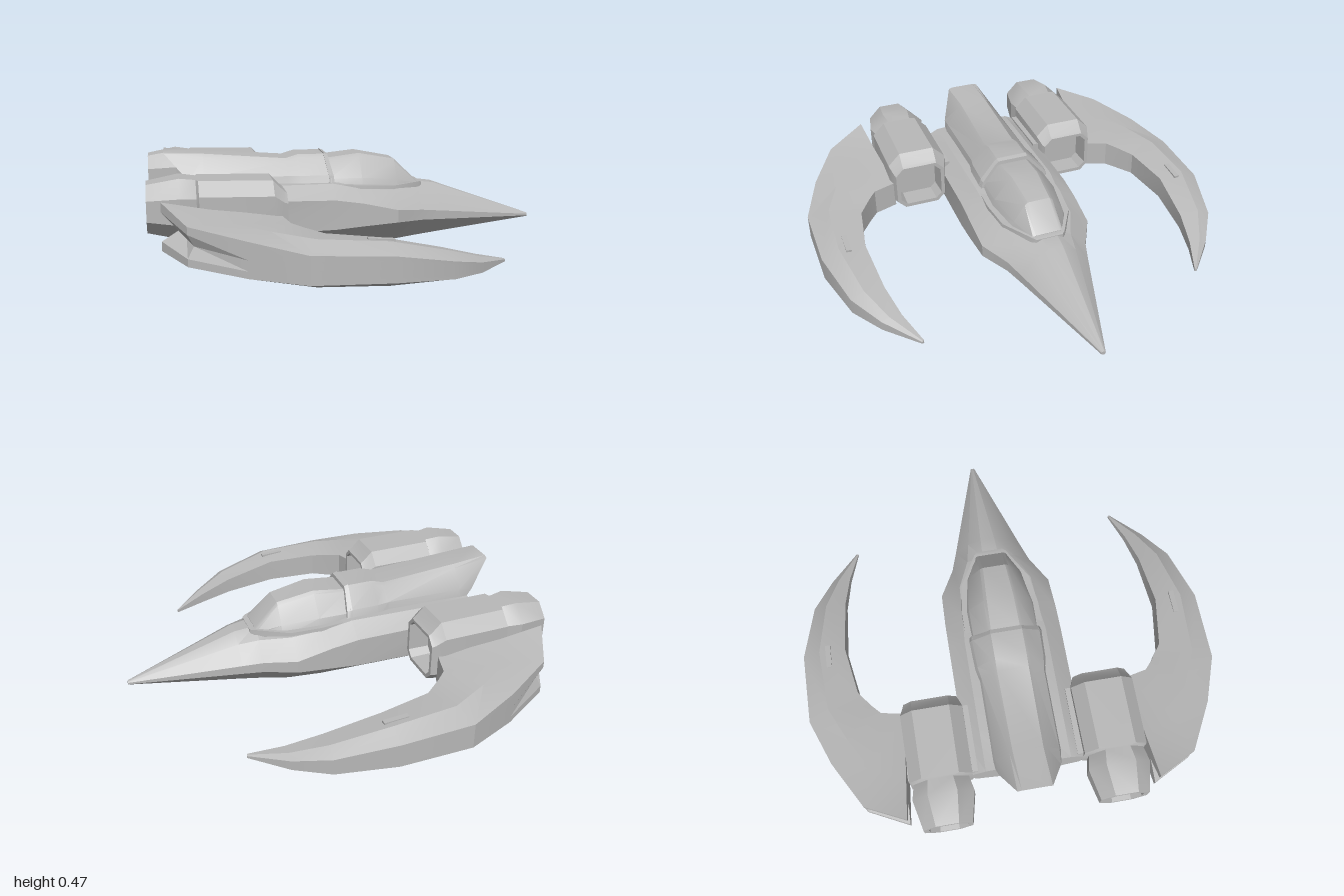
import * as THREE from 'three';
import { toCreasedNormals } from 'three/addons/utils/BufferGeometryUtils.js';

// Skin a closed solid over a list of rings of [x, y, z] points, with fan caps
function loft(rings, crease = 0.4) {
  const tris = [];
  const n = rings[0].length;
  for (let i = 0; i < rings.length - 1; i++) {
    for (let j = 0; j < n; j++) {
      const k = (j + 1) % n;
      const a = rings[i][j], b = rings[i][k], c = rings[i + 1][k], d = rings[i + 1][j];
      tris.push([a, b, c], [a, c, d]);
    }
  }
  const centre = (ring) => [0, 1, 2].map((q) => ring.reduce((s, p) => s + p[q], 0) / n);
  const first = rings[0], last = rings[rings.length - 1];
  const c0 = centre(first), c1 = centre(last);
  for (let j = 0; j < n; j++) {
    const k = (j + 1) % n;
    tris.push([c0, first[k], first[j]], [c1, last[j], last[k]]);
  }
  // Turn all faces outward
  let volume = 0;
  for (const [a, b, c] of tris) {
    volume += a[0] * (b[1] * c[2] - b[2] * c[1]) + a[1] * (b[2] * c[0] - b[0] * c[2]) + a[2] * (b[0] * c[1] - b[1] * c[0]);
  }
  const flat = tris.map((t) => (volume < 0 ? [t[0], t[2], t[1]] : t)).flat(2);
  const geometry = new THREE.BufferGeometry();
  geometry.setAttribute('position', new THREE.Float32BufferAttribute(flat, 3));
  geometry.computeVertexNormals();
  return toCreasedNormals(geometry, crease);
}

// Complete a half ring (bottom to top, z > 0) with its mirror image
const symmetric = (half) => [...half, ...half.map(([x, y, z]) => [x, y, -z]).reverse()];

// Ring at x from [y, z] pairs
const section = (x, ...yz) => symmetric(yz.map(([y, z]) => [x, y, z]));

// Octagonal ring: a rectangle with cut corners
const octagon = (x, y0, y1, z0, z1, c) => [
  [x, y0, z0 + c], [x, y0, z1 - c], [x, y0 + c, z1], [x, y1 - c, z1],
  [x, y1, z1 - c], [x, y1, z0 + c], [x, y1 - c, z0], [x, y0 + c, z0],
];

// Wing ring between inner (leading) and outer (trailing) edges; pull opens the trailing notch
function wingRing({ inner, outer, top, ridge, edge, low, floor, belly, pull = 0 }) {
  const at = (t, y) => [
    inner[0] + (outer[0] - inner[0]) * t, y, inner[1] + (outer[1] - inner[1]) * t,
  ];
  const gap = edge - low;
  return [
    at(0, top), at(0.6, ridge), at(1, edge), at(1, edge - gap * 0.2),
    at(1 - pull, edge - gap * 0.5), at(1, low + gap * 0.2), at(1, low),
    at(0.6, belly), at(0, floor),
  ];
}

export function createModel() {
  const model = new THREE.Group();
  const grey = new THREE.MeshStandardMaterial({ color: 0xb8b8b8 });
  grey.name = 'hull grey';
  const add = (name, geometry, parent = model) => {
    const mesh = new THREE.Mesh(geometry, grey);
    mesh.name = name;
    parent.add(mesh);
    return mesh;
  };

  // Main hull running from the flat stern to the pointed nose
  add('hull', loft([
    section(-0.74, [0.13, 0.12], [0.17, 0.25], [0.27, 0.28], [0.31, 0.2], [0.32, 0.06]),
    section(-0.56, [0.015, 0.12], [0.1, 0.27], [0.26, 0.28], [0.315, 0.2], [0.32, 0.06]),
    section(-0.1, [0.005, 0.13], [0.11, 0.28], [0.25, 0.28], [0.315, 0.2], [0.32, 0.06]),
    section(0.03, [0.005, 0.13], [0.12, 0.28], [0.23, 0.28], [0.285, 0.19], [0.3, 0.06]),
    section(0.2, [0.01, 0.12], [0.13, 0.275], [0.19, 0.275], [0.27, 0.18], [0.285, 0.06]),
    section(0.34, [0.02, 0.09], [0.12, 0.2], [0.17, 0.2], [0.25, 0.12], [0.285, 0.04]),
    section(0.44, [0.028, 0.075], [0.112, 0.168], [0.155, 0.168], [0.235, 0.1], [0.272, 0.035]),
    section(0.96, [0.068, 0.005], [0.072, 0.01], [0.08, 0.01], [0.084, 0.007], [0.086, 0.003]),
  ]));

  // Raised spine with an undercut tail
  add('spine', loft([
    symmetric([[-0.72, 0.29, 0.16], [-0.77, 0.34, 0.145], [-0.88, 0.465, 0.08], [-0.88, 0.472, 0.06]]),
    section(-0.7, [0.29, 0.165], [0.35, 0.15], [0.44, 0.085], [0.457, 0.07]),
    section(-0.31, [0.29, 0.165], [0.35, 0.15], [0.41, 0.09], [0.424, 0.075]),
    section(-0.25, [0.29, 0.18], [0.35, 0.16], [0.43, 0.09], [0.442, 0.075]),
    symmetric([[-0.1, 0.28, 0.19], [-0.105, 0.35, 0.165], [-0.12, 0.425, 0.09], [-0.12, 0.44, 0.075]]),
  ]));

  // Canopy with its rear arch and base rim
  add('canopy', loft([
    section(-0.11, [0.27, 0.172], [0.33, 0.155], [0.41, 0.085], [0.42, 0.07]),
    section(0.05, [0.27, 0.172], [0.33, 0.155], [0.425, 0.08], [0.437, 0.065]),
    section(0.23, [0.26, 0.145], [0.31, 0.125], [0.39, 0.07], [0.402, 0.055]),
    section(0.345, [0.26, 0.08], [0.27, 0.08], [0.285, 0.075], [0.29, 0.06]),
  ]));
  add('canopyArch', loft([
    symmetric([[-0.11, 0.27, 0.193], [-0.115, 0.35, 0.168], [-0.125, 0.43, 0.092], [-0.125, 0.445, 0.077]]),
    symmetric([[-0.085, 0.27, 0.19], [-0.09, 0.345, 0.163], [-0.105, 0.425, 0.09], [-0.105, 0.438, 0.075]]),
  ]));
  add('canopyRim', loft([
    section(-0.11, [0.26, 0.195], [0.31, 0.19]),
    section(0.05, [0.25, 0.195], [0.298, 0.19]),
    section(0.2, [0.24, 0.175], [0.288, 0.17]),
    section(0.355, [0.24, 0.085], [0.288, 0.08]),
    section(0.37, [0.24, 0.07], [0.284, 0.065]),
  ]));

  // Engine pod: hollow exhaust, stepped casing, hollow intake
  const podRings = [
    octagon(-0.86, 0.21, 0.36, 0.33, 0.48, 0.035),
    octagon(-0.96, 0.2, 0.37, 0.315, 0.495, 0.045),
    octagon(-0.96, 0.18, 0.39, 0.295, 0.52, 0.06),
    octagon(-0.82, 0.15, 0.415, 0.265, 0.55, 0.075),
    octagon(-0.75, 0.16, 0.405, 0.28, 0.535, 0.07),
    octagon(-0.74, 0.115, 0.405, 0.262, 0.553, 0.06),
    octagon(-0.42, 0.1, 0.397, 0.26, 0.555, 0.06),
    octagon(-0.375, 0.105, 0.35, 0.275, 0.54, 0.045),
    octagon(-0.36, 0.11, 0.34, 0.282, 0.535, 0.04),
    octagon(-0.36, 0.128, 0.325, 0.3, 0.517, 0.03),
    octagon(-0.46, 0.133, 0.32, 0.305, 0.512, 0.028),
  ];

  // Crescent wing, from the forked root round to the forward tip
  const wingRings = [
    { inner: [-0.39, 0.54], outer: [-0.9, 0.585], top: 0.25, ridge: 0.295, edge: 0.338, low: 0.13, floor: 0.12, belly: 0.1, pull: 0.2 },
    { inner: [-0.365, 0.65], outer: [-0.8, 0.78], top: 0.24, ridge: 0.27, edge: 0.275, low: 0.11, floor: 0.11, belly: 0.07, pull: 0.06 },
    { inner: [-0.32, 0.69], outer: [-0.57, 0.91], top: 0.23, ridge: 0.25, edge: 0.235, low: 0.085, floor: 0.105, belly: 0.045 },
    { inner: [-0.24, 0.75], outer: [-0.34, 1], top: 0.215, ridge: 0.23, edge: 0.19, low: 0.07, floor: 0.1, belly: 0.032 },
    { inner: [0, 0.79], outer: [0, 1], top: 0.195, ridge: 0.21, edge: 0.17, low: 0.06, floor: 0.085, belly: 0.025 },
    { inner: [0.26, 0.77], outer: [0.27, 0.93], top: 0.135, ridge: 0.145, edge: 0.115, low: 0.04, floor: 0.06, belly: 0.02 },
    { inner: [0.42, 0.735], outer: [0.42, 0.83], top: 0.088, ridge: 0.092, edge: 0.075, low: 0.03, floor: 0.04, belly: 0.022 },
    { inner: [0.57, 0.68], outer: [0.575, 0.69], top: 0.046, ridge: 0.046, edge: 0.042, low: 0.032, floor: 0.032, belly: 0.03 },
  ].map(wingRing);

  // Both sides
  for (const [side, label] of [[1, 'right'], [-1, 'left']]) {
    const assembly = new THREE.Group();
    assembly.name = label + 'Side';
    model.add(assembly);
    const flip = (rings) => rings.map((ring) => ring.map(([x, y, z]) => [x, y, z * side]));
    add('enginePod', loft(flip(podRings)), assembly);
    add('wing', loft(flip(wingRings), 0.35), assembly);
    const slot = add('wingSlot', new THREE.BoxGeometry(0.115, 0.02, 0.025), assembly);
    slot.position.set(-0.03, 0.204, 0.873 * side);
    slot.rotation.z = -0.08;
    // Struts joining the pod to hull and wing
    const strut = add('podStrut', new THREE.BoxGeometry(0.32, 0.12, 0.06), assembly);
    strut.position.set(-0.57, 0.24, 0.265 * side);
    const mount = add('wingMount', new THREE.BoxGeometry(0.3, 0.1, 0.04), assembly);
    mount.position.set(-0.56, 0.19, 0.545 * side);
  }
  return model;
}
